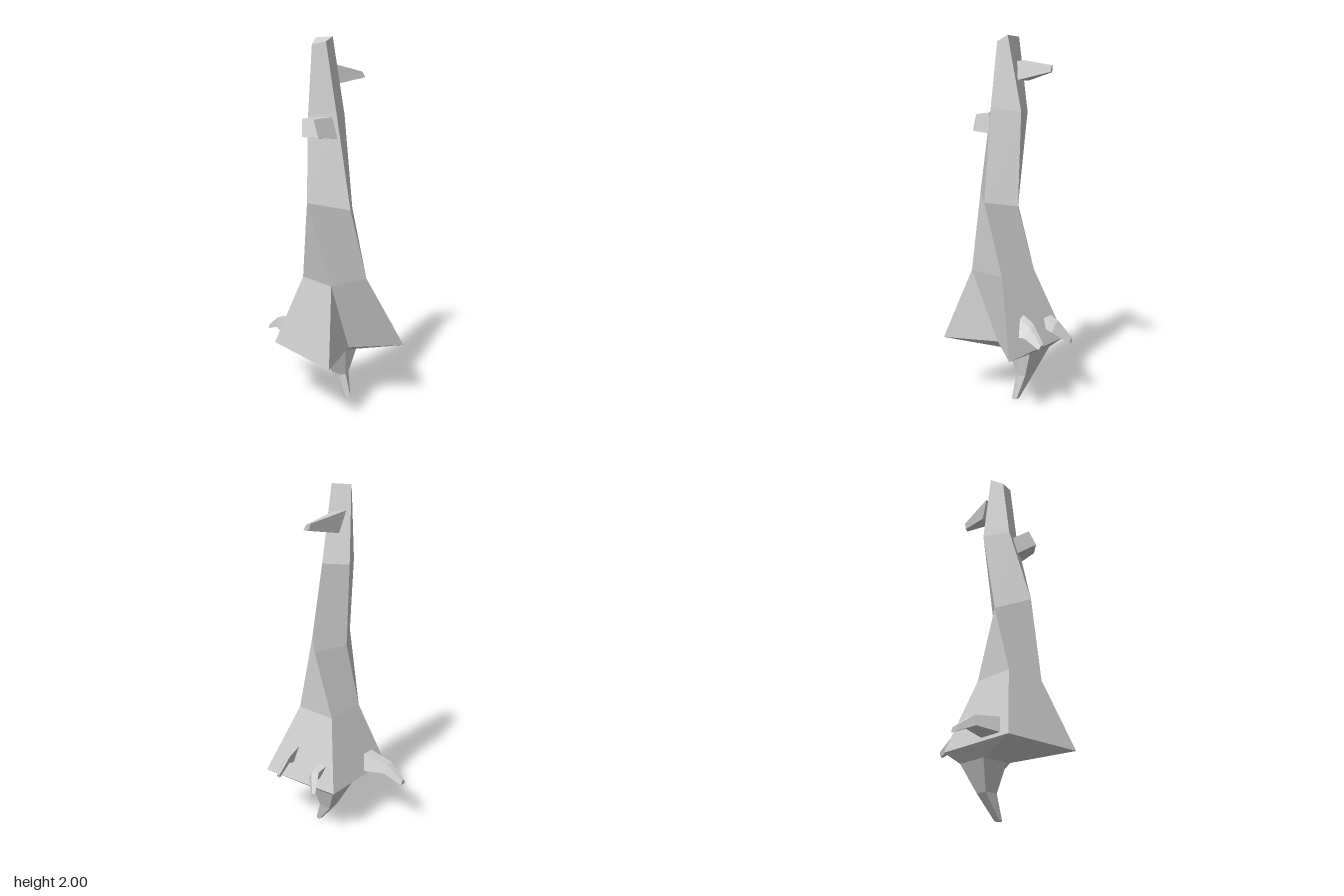
import * as THREE from 'three';

const material = new THREE.MeshStandardMaterial({ color: 0xcccccc });
const V = (p) => new THREE.Vector3(...p);
const cross = (a, b, c, d) => V(b).sub(V(a)).cross(V(d).sub(V(c)));

// Skins a list of rings of [x, y, z] points, ordered from base to end, and caps both ends.
// Repeated points in a ring merge corners; each quad has one normal and folds outwards.
function loft(name, rings) {
  const pos = [], nor = [];
  const same = (p, q) => p.every((v, i) => v === q[i]);
  const tri = (a, b, c, normal) => {
    if (same(a, b) || same(b, c) || same(a, c)) return;
    pos.push(...a, ...b, ...c);
    for (let k = 0; k < 3; k++) nor.push(...normal.toArray());
  };
  const n = rings[0].length;
  for (let r = 0; r < rings.length - 1; r++) {
    for (let i = 0; i < n; i++) {
      const j = (i + 1) % n;
      const a = rings[r][i], b = rings[r][j], c = rings[r + 1][j], d = rings[r + 1][i];
      const normal = cross(a, c, b, d).normalize();
      if (cross(a, b, a, d).dot(V(c).sub(V(a))) > 0) {
        tri(a, b, c, normal);
        tri(a, c, d, normal);
      } else {
        tri(a, b, d, normal);
        tri(b, c, d, normal);
      }
    }
  }
  for (const ring of [[...rings[0]].reverse(), rings[rings.length - 1]]) {
    const normal = new THREE.Vector3();
    for (let i = 1; i < n - 1; i++) normal.add(cross(ring[0], ring[i], ring[0], ring[i + 1]));
    normal.normalize();
    for (let i = 1; i < n - 1; i++) tri(ring[0], ring[i], ring[i + 1], normal);
  }
  const geometry = new THREE.BufferGeometry();
  geometry.setAttribute('position', new THREE.Float32BufferAttribute(pos, 3));
  geometry.setAttribute('normal', new THREE.Float32BufferAttribute(nor, 3));
  const mesh = new THREE.Mesh(geometry, material);
  mesh.name = name;
  return mesh;
}

// Four-sided trunk section as a five-point ring
const stem = (left, front, right, back) => [left, left, front, right, back];
// Five-sided root section: left and right x, back and side z, and a front ridge
const root = (y, x0, x1, zBack, zSide, xRidge, zRidge) => [
  [x0, y, zSide], [xRidge, y, zRidge], [x1, y, zSide], [x1, y, zBack], [x0, y, zBack],
];

export function createModel() {
  const group = new THREE.Group();
  group.name = 'deadTree';

  // Tap root, flared base with a notch in front, and twisting trunk
  group.add(loft('trunk', [
    root(0, 0.01, 0.045, 0.1, 0.12, 0.033, 0.135),
    root(0.13, 0, 0.068, 0, 0.075, 0.032, 0.092),
    root(0.28, -0.06, 0.12, -0.07, 0.09, 0.03, 0.092),
    [[-0.302, 0.34, 0.355], [-0.03, 0.34, 0.19], [0.23, 0.34, 0.355], [0.182, 0.34, -0.13], [-0.302, 0.34, -0.13]],
    stem([-0.19, 0.73, 0.235], [0.055, 0.73, 0.235], [0.055, 0.73, -0.01], [-0.19, 0.73, -0.01]),
    stem([-0.25, 1.16, 0.11], [-0.07, 1.12, 0.245], [0.055, 1.1, 0.115], [-0.08, 1.13, -0.005]),
    stem([-0.175, 1.6, 0.025], [-0.1, 1.62, 0.165], [0.035, 1.6, 0.07], [-0.04, 1.6, -0.055]),
    stem([-0.14, 1.96, 0.015], [-0.115, 1.97, 0.1], [-0.055, 2, 0.08], [-0.08, 2, -0.03]),
  ]));

  // Thin branch near the top, pointing left
  group.add(loft('upperBranch', [
    [[-0.04, 1.875, -0.03], [-0.02, 1.865, 0.045], [0.005, 1.765, 0.065], [0.005, 1.765, -0.02]],
    [[0.195, 1.835, 0], [0.205, 1.83, 0.02], [0.212, 1.8, 0.035], [0.2, 1.8, 0.01]],
  ]));

  // Short cut stub on the other side
  group.add(loft('stubBranch', [
    [[-0.12, 1.595, 0.155], [-0.14, 1.595, 0.08], [-0.14, 1.485, 0.09], [-0.1, 1.485, 0.178]],
    [[-0.235, 1.585, 0.15], [-0.265, 1.59, 0.095], [-0.29, 1.5, 0.125], [-0.225, 1.495, 0.175]],
  ]));

  // Bent side roots
  group.add(loft('frontSideRoot', [
    [[0.14, 0.53, 0.165], [0.14, 0.52, 0.2], [0.17, 0.43, 0.25], [0.17, 0.43, 0.18]],
    [[0.22, 0.495, 0.165], [0.22, 0.48, 0.19], [0.215, 0.43, 0.23], [0.215, 0.44, 0.18]],
    [[0.3, 0.405, 0.175], [0.3, 0.4, 0.195], [0.295, 0.38, 0.205], [0.295, 0.38, 0.18]],
  ]));
  group.add(loft('backSideRoot', [
    [[0.15, 0.48, -0.05], [0.15, 0.475, 0.01], [0.18, 0.42, 0.025], [0.18, 0.41, -0.03]],
    [[0.21, 0.46, -0.045], [0.22, 0.45, 0], [0.22, 0.41, 0.02], [0.21, 0.4, -0.03]],
    [[0.28, 0.37, -0.08], [0.285, 0.365, -0.06], [0.285, 0.345, -0.055], [0.28, 0.345, -0.075]],
  ]));

  // Larger root reaching backwards
  group.add(loft('backRoot', [
    [[-0.21, 0.45, -0.095], [-0.14, 0.45, -0.095], [-0.105, 0.36, -0.125], [-0.24, 0.36, -0.125]],
    [[-0.2, 0.43, -0.25], [-0.155, 0.43, -0.25], [-0.135, 0.375, -0.25], [-0.21, 0.375, -0.25]],
    [[-0.185, 0.355, -0.357], [-0.165, 0.355, -0.357], [-0.155, 0.33, -0.357], [-0.195, 0.33, -0.357]],
  ]));

  return group;
}
